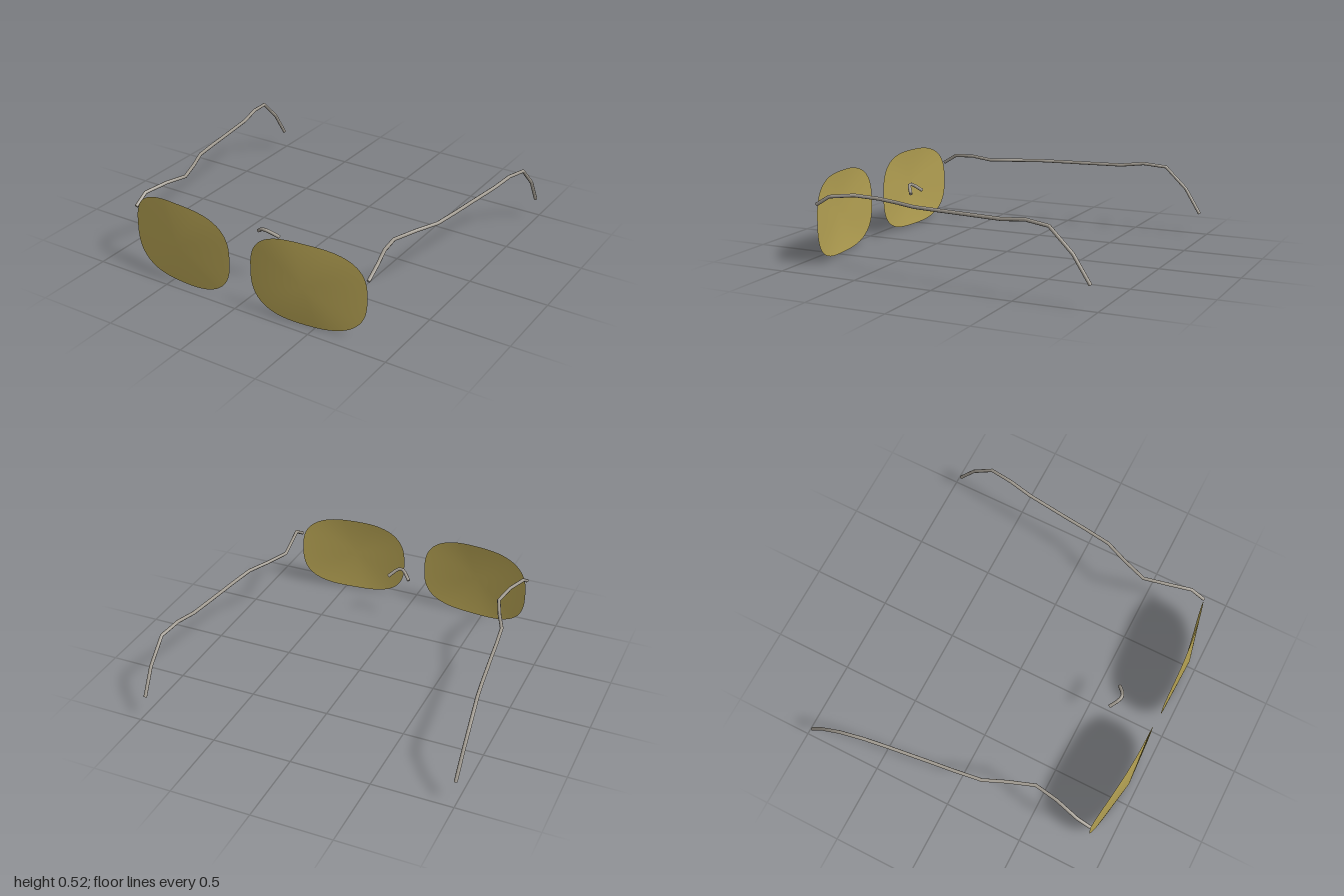
import * as THREE from 'three';

// Curve with straight runs, one tube ring per given point
class Polyline extends THREE.Curve {
  constructor(points) {
    super();
    this.points = points;
  }
  getPoint(t, target = new THREE.Vector3()) {
    const f = t * (this.points.length - 1);
    const i = Math.min(Math.floor(f), this.points.length - 2);
    return target.lerpVectors(this.points[i], this.points[i + 1], f - i);
  }
  getUtoTmapping(u) {
    return u;
  }
  // Mitred direction at each point
  getTangent(t, target = new THREE.Vector3()) {
    const p = this.points, last = p.length - 1;
    const i = Math.round(t * last);
    target.set(0, 0, 0);
    if (i > 0) target.add(p[i].clone().sub(p[i - 1]).normalize());
    if (i < last) target.add(p[i + 1].clone().sub(p[i]).normalize());
    return target.normalize();
  }
}

// Bent wire with closed ends
function wire(name, coords, radius, material) {
  const group = new THREE.Group();
  group.name = name;
  const points = coords.map((c) => new THREE.Vector3(...c));
  const last = points.length - 1;
  const tube = new THREE.Mesh(
    new THREE.TubeGeometry(new Polyline(points), last, radius, 8), material);
  tube.name = name + 'Wire';
  group.add(tube);
  for (const [end, inner] of [[0, 1], [last, last - 1]]) {
    const cap = new THREE.Mesh(new THREE.CircleGeometry(radius, 8), material);
    cap.name = name + 'Cap';
    cap.position.copy(points[end]);
    cap.lookAt(points[end].clone().multiplyScalar(2).sub(points[inner]));
    group.add(cap);
  }
  return group;
}

// Rounded-rectangle lens: a fan from a raised centre to a wrapped rim
function lensGeometry(side) {
  const n = 64, cx = 0.44, cy = 0.262, rx = 0.367, ry = 0.26, power = 2 / 2.8;
  const bend = (v) => Math.sign(v) * Math.abs(v) ** power;
  const positions = [side * cx, cy, 0.957];
  const index = [];
  for (let i = 0; i < n; i++) {
    const a = (i / n) * Math.PI * 2;
    const x = side * cx + rx * bend(Math.cos(a));
    const t = Math.abs(x) - cx;
    positions.push(x, cy + ry * bend(Math.sin(a)), 0.927 - 0.09 * t - 0.173 * t * t);
    index.push(0, 1 + i, 1 + ((i + 1) % n));
  }
  const geometry = new THREE.BufferGeometry();
  geometry.setAttribute('position', new THREE.Float32BufferAttribute(positions, 3));
  geometry.setIndex(index);
  geometry.computeVertexNormals();
  return geometry;
}

export function createModel() {
  const model = new THREE.Group();
  model.name = 'glasses';

  const metal = new THREE.MeshStandardMaterial({ color: 0xa09a90 });
  metal.name = 'brushed metal';
  const tint = new THREE.MeshStandardMaterial({ color: 0xb3a052, side: THREE.DoubleSide });
  tint.name = 'amber lens';

  // Temple arm, hinge to ear tip
  const temple = [
    [0.81, 0.38, 0.87], [0.81, 0.435, 0.78], [0.77, 0.448, 0.63], [0.743, 0.436, 0.48],
    [0.8, 0.436, 0.32], [0.86, 0.436, 0.18], [0.885, 0.436, 0], [0.9, 0.436, -0.13],
    [0.935, 0.436, -0.41], [0.96, 0.453, -0.56], [0.985, 0.437, -0.71],
    [0.989, 0.3, -0.85], [0.985, 0.14, -0.95],
  ];

  for (const side of [1, -1]) {
    const label = side > 0 ? 'left' : 'right';
    const lens = new THREE.Mesh(lensGeometry(side), tint);
    lens.name = label + 'Lens';
    model.add(lens);
    model.add(wire(label + 'Temple', temple.map(([x, y, z]) => [side * x, y, z]), 0.011, metal));
  }

  // Nose bridge
  const half = [[0.073, 0.328, 0.645], [0.035, 0.361, 0.676], [0.015, 0.373, 0.687]];
  const bridge = [
    ...half.map(([x, y, z]) => [-x, y, z]),
    [0, 0.375, 0.689],
    ...half.slice().reverse(),
  ];
  model.add(wire('noseBridge', bridge, 0.011, metal));

  return model;
}
